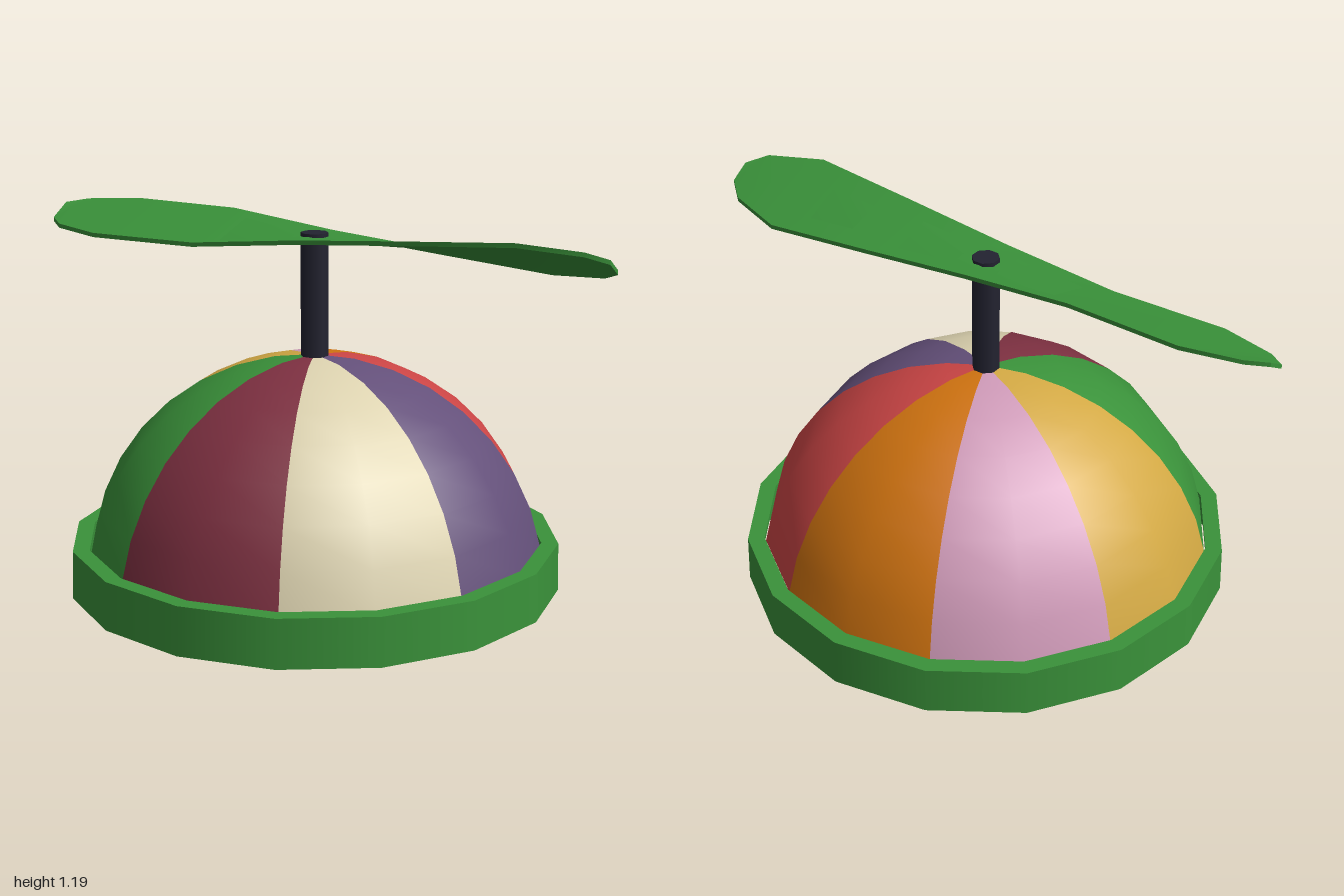
import * as THREE from 'three';
import { mergeGeometries } from 'three/addons/utils/BufferGeometryUtils.js';

const SIDES = 16;

function material(name, color, side = THREE.FrontSide) {
  const m = new THREE.MeshStandardMaterial({ color, side });
  m.name = name;
  return m;
}

function mesh(name, geometry, mat) {
  const m = new THREE.Mesh(geometry, mat);
  m.name = name;
  return m;
}

// Closed ring of a section; each strip is its own lathe so the edges stay sharp
function ring(section) {
  const pts = section.map(([r, y]) => new THREE.Vector2(r, y));
  return mergeGeometries(pts.map((p, i) =>
    new THREE.LatheGeometry([p, pts[(i + 1) % pts.length]], SIDES)));
}

// Twisted propeller: stations of [x, half width, slope across the blade]
function propellerGeometry() {
  const stations = [
    [-1, 0.035, -0.6], [-0.94, 0.083, -0.38], [-0.76, 0.136, -0.29], [-0.38, 0.125, -0.31],
    [0, 0.113, 0],
    [0.38, 0.124, 0.26], [0.75, 0.134, 0.46], [0.94, 0.08, 0.55], [1, 0.03, 0.65],
  ];
  const geo = new THREE.BoxGeometry(2, 0.014, 2, stations.length - 1, 1, 1);
  const p = geo.attributes.position;
  for (let i = 0; i < p.count; i++) {
    const k = Math.round((p.getX(i) + 1) / 2 * (stations.length - 1));
    const [x, half, slope] = stations[k];
    const z = p.getZ(i) * half;
    p.setXYZ(i, x, 1.124 + p.getY(i) + z * slope, z);
  }
  geo.computeVertexNormals();
  return geo;
}

export function createModel() {
  const hat = new THREE.Group();
  hat.name = 'propellerHat';
  const green = material('green', 0x3a923a, THREE.DoubleSide);
  const dark = material('darkNavy', 0x232331);

  // Panels run from the front round through the left side (+x)
  const panelMaterials = [
    material('maroon', 0x7f3142, THREE.DoubleSide),
    material('cream', 0xddd3b0, THREE.DoubleSide),
    material('purple', 0x64507a, THREE.DoubleSide),
    material('red', 0xcb4545, THREE.DoubleSide),
    material('orange', 0xd07310, THREE.DoubleSide),
    material('pink', 0xcf9ab8, THREE.DoubleSide),
    material('yellow', 0xd2a843, THREE.DoubleSide),
    green,
  ];

  // Dome profile from the band up to the crown
  const profile = [];
  for (let i = 0; i <= 8; i++) {
    const a = THREE.MathUtils.lerp(0.18, Math.PI / 2, i / 8);
    profile.push(new THREE.Vector2(0.74 * Math.cos(a), 0.01 + 0.74 * Math.sin(a)));
  }
  const dome = new THREE.Group();
  dome.name = 'dome';
  const step = Math.PI / 4;
  panelMaterials.forEach((mat, k) => {
    const geo = new THREE.LatheGeometry(profile, 2, (k - 0.5) * step, step);
    dome.add(mesh('panel' + (k + 1), geo, mat));
  });
  hat.add(dome);

  // Band with a small inner ledge that carries the dome
  const section = [[0.79, 0], [0.786, 0.155], [0.732, 0.155], [0.732, 0.143], [0.762, 0.143], [0.765, 0]];
  hat.add(mesh('band', ring(section), green));

  // Post
  const post = new THREE.CylinderGeometry(0.044, 0.044, 0.4, 8);
  post.rotateY(Math.PI / 8);
  post.translate(0, 0.94, 0);
  hat.add(mesh('post', post, dark));

  hat.add(mesh('propeller', propellerGeometry(), green));
  return hat;
}
